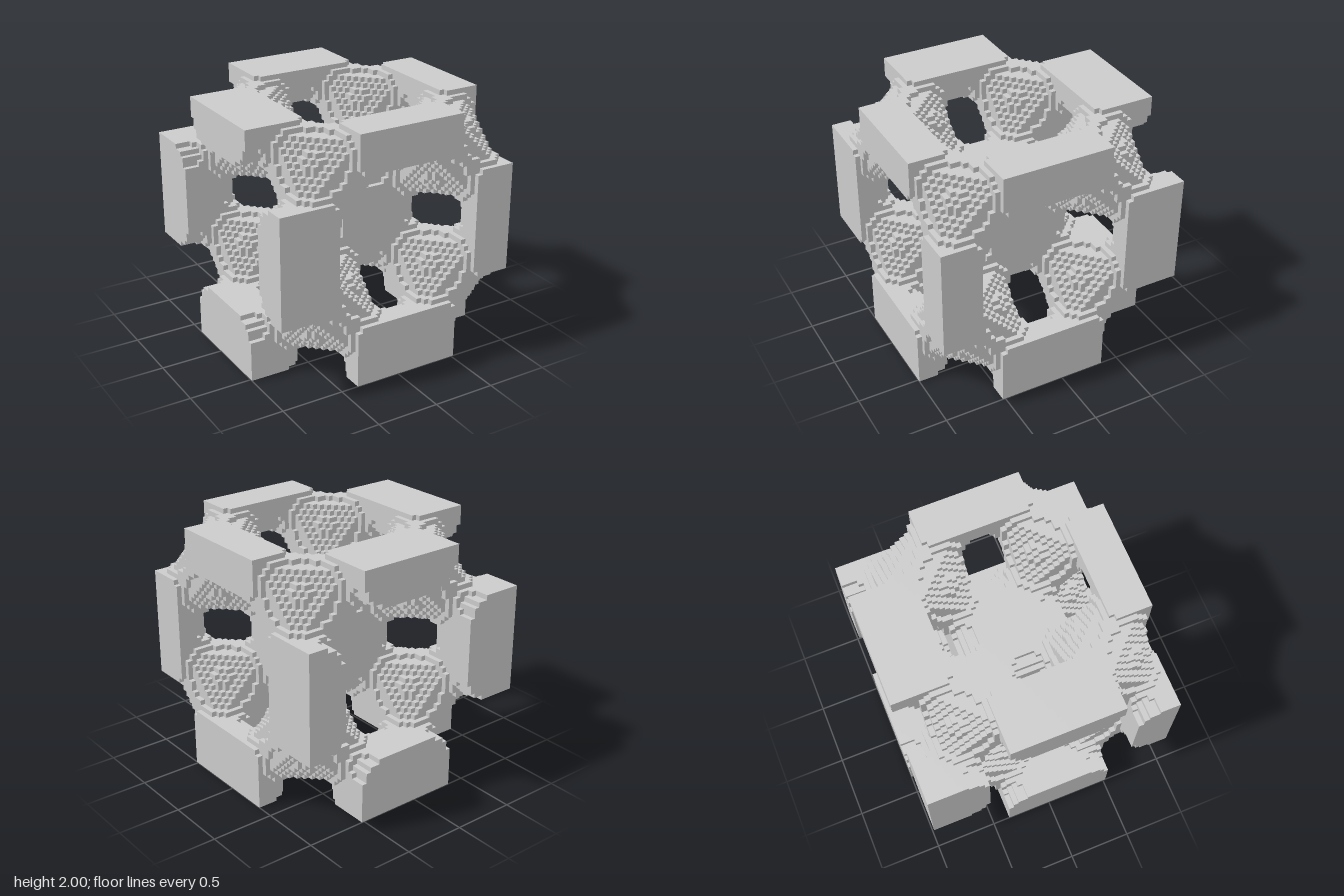
import * as THREE from 'three';

const N = 50;            // cells per side
const CELL = 2 / N;      // cell size
const CENTRE = 27;       // cell boundary the pattern mirrors about
const K = Math.PI / 26;  // phase per cell

// Triply periodic lattice: blocks joined by tetrahedral bridges
function isSolid(cell) {
  if (cell.some((i) => i < 0 || i >= N)) return false;
  const angle = cell.map((i) => (i + 0.5 - CENTRE) * K);
  const [a, b, c] = angle.map((t) => Math.cos(t));
  const [d, e, f] = angle.map((t) => Math.cos(2 * t));
  return 4 * a * b * c + d * e + e * f + f * d > 0;
}

// Corners of a unit square, anticlockwise
const SQUARE = [[0, 0], [1, 0], [1, 1], [0, 1]];

function latticeGeometry() {
  const positions = [], normals = [], indices = [];

  // One outward face of a cell
  function addFace(cell, axis, sign) {
    const u = (axis + 1) % 3, v = (axis + 2) % 3;
    const start = positions.length / 3;
    const normal = [0, 0, 0];
    normal[axis] = sign;
    for (const [s, t] of SQUARE) {
      const p = [...cell];
      p[axis] += sign > 0 ? 1 : 0;
      p[u] += s;
      p[v] += t;
      positions.push(p[0] * CELL - 1, p[1] * CELL, p[2] * CELL - 1);
      normals.push(...normal);
    }
    const order = sign > 0 ? [0, 1, 2, 0, 2, 3] : [0, 2, 1, 0, 3, 2];
    indices.push(...order.map((i) => start + i));
  }

  // Keep only faces between a solid cell and an empty one
  for (let x = 0; x < N; x++)
    for (let y = 0; y < N; y++)
      for (let z = 0; z < N; z++) {
        const cell = [x, y, z];
        if (!isSolid(cell)) continue;
        for (let axis = 0; axis < 3; axis++)
          for (const sign of [-1, 1]) {
            const next = [...cell];
            next[axis] += sign;
            if (!isSolid(next)) addFace(cell, axis, sign);
          }
      }

  const geometry = new THREE.BufferGeometry();
  geometry.setAttribute('position', new THREE.Float32BufferAttribute(positions, 3));
  geometry.setAttribute('normal', new THREE.Float32BufferAttribute(normals, 3));
  geometry.setIndex(indices);
  return geometry;
}

export function createModel() {
  const group = new THREE.Group();
  group.name = 'steppedLattice';
  const material = new THREE.MeshStandardMaterial({ color: 0xcccccc, flatShading: true });
  const lattice = new THREE.Mesh(latticeGeometry(), material);
  lattice.name = 'latticeBlock';
  group.add(lattice);
  return group;
}
